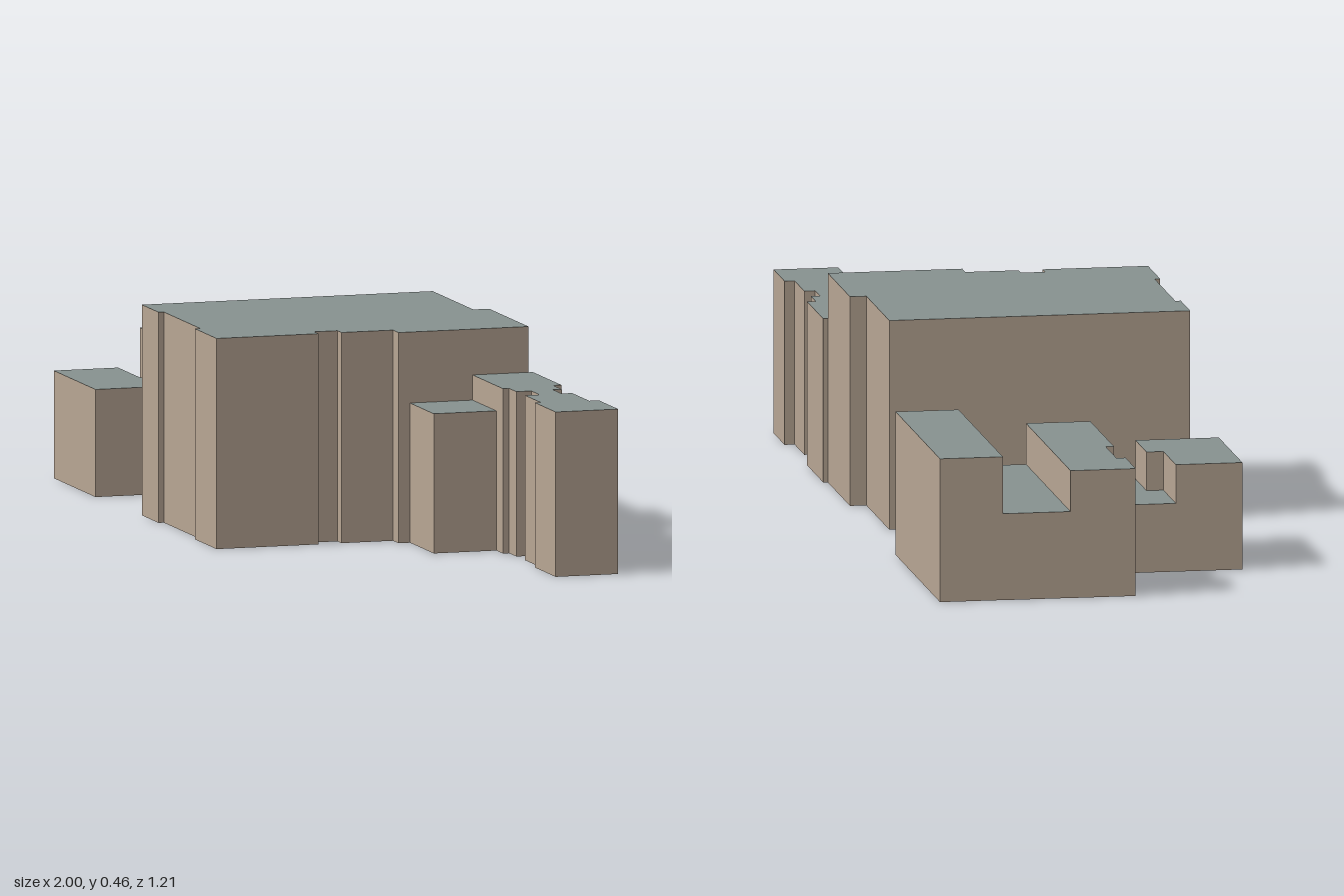
import * as THREE from 'three';

const wallMat = new THREE.MeshStandardMaterial({ color: 0xb8a694, side: THREE.DoubleSide });
wallMat.name = 'beige wall';
const roofMat = new THREE.MeshStandardMaterial({ color: 0x879290, side: THREE.DoubleSide });
roofMat.name = 'grey roof';

// Prism with walls and a roof, open at the bottom; plan is [x, z], clockwise from above
function block(name, height, plan) {
  const group = new THREE.Group();
  group.name = name;

  const shape = new THREE.Shape(plan.map(([x, z]) => new THREE.Vector2(x, -z)));
  const roof = new THREE.Mesh(new THREE.ShapeGeometry(shape).rotateX(-Math.PI / 2), roofMat);
  roof.position.y = height;
  roof.name = name + ' roof';

  const pos = [];
  plan.forEach(([x0, z0], i) => {
    const [x1, z1] = plan[(i + 1) % plan.length];
    pos.push(x0, 0, z0, x0, height, z0, x1, 0, z1);
    pos.push(x1, 0, z1, x0, height, z0, x1, height, z1);
  });
  const geo = new THREE.BufferGeometry();
  geo.setAttribute('position', new THREE.Float32BufferAttribute(pos, 3));
  geo.computeVertexNormals();
  const walls = new THREE.Mesh(geo, wallMat);
  walls.name = name + ' walls';

  group.add(walls, roof);
  return group;
}

const rect = (x0, x1, z0, z1) => [[x0, z0], [x1, z0], [x1, z1], [x0, z1]];

export function createModel() {
  const model = new THREE.Group();
  model.name = 'buildings';
  // Plans are drawn square to the walls, then turned on the site
  model.rotation.y = THREE.MathUtils.degToRad(-25);

  // Stepped building: parallel strips of different heights
  const stepped = new THREE.Group();
  stepped.name = 'stepped building';
  stepped.add(
    block('back strip', 0.315, rect(-0.998, -0.442, -0.209, -0.071)),
    block('low strip', 0.19, rect(-0.999, -0.442, -0.071, 0.077)),
    block('middle strip', 0.28, [
      [-1, 0.077], [-0.442, 0.077], [-0.442, 0.218], [-0.737, 0.218],
      [-0.737, 0.2], [-0.872, 0.2], [-0.872, 0.22], [-1, 0.22],
    ]),
    block('link', 0.15, [
      [-0.737, 0.218], [-0.442, 0.218], [-0.442, 0.317],
      [-0.581, 0.317], [-0.581, 0.354], [-0.737, 0.354],
    ]),
    block('front block', 0.235, [
      [-0.737, 0.354], [-0.581, 0.354], [-0.581, 0.317],
      [-0.442, 0.317], [-0.442, 0.5], [-0.737, 0.5],
    ]),
  );

  // Main building with its lower annex and wing
  const main = new THREE.Group();
  main.name = 'main building';
  main.add(
    block('main hall', 0.46, [
      [-0.152, -0.172], [0.135, -0.172], [0.135, -0.208], [0.413, -0.208],
      [0.413, 0.087], [0.374, 0.087], [0.374, 0.204], [0.346, 0.204],
      [0.346, 0.257], [0.376, 0.257], [0.376, 0.488], [0.224, 0.488],
      [0.224, 0.476], [-0.034, 0.476], [-0.034, 0.488], [-0.152, 0.488],
    ]),
    block('annex', 0.305, rect(0.413, 0.581, -0.081, 0.061)),
    block('wing', 0.36, [
      [0.413, -0.218], [0.615, -0.218], [0.615, -0.199], [0.676, -0.199],
      [0.676, -0.179], [0.736, -0.179], [0.736, -0.203], [0.857, -0.203],
      [0.857, -0.225], [0.994, -0.225], [0.994, -0.083], [0.849, -0.083],
      [0.849, -0.096], [0.738, -0.096], [0.738, -0.129], [0.679, -0.129],
      [0.679, -0.095], [0.628, -0.095], [0.628, -0.081], [0.413, -0.081],
    ]),
  );

  model.add(stepped, main);
  const root = new THREE.Group();
  root.add(model);
  return root;
}
